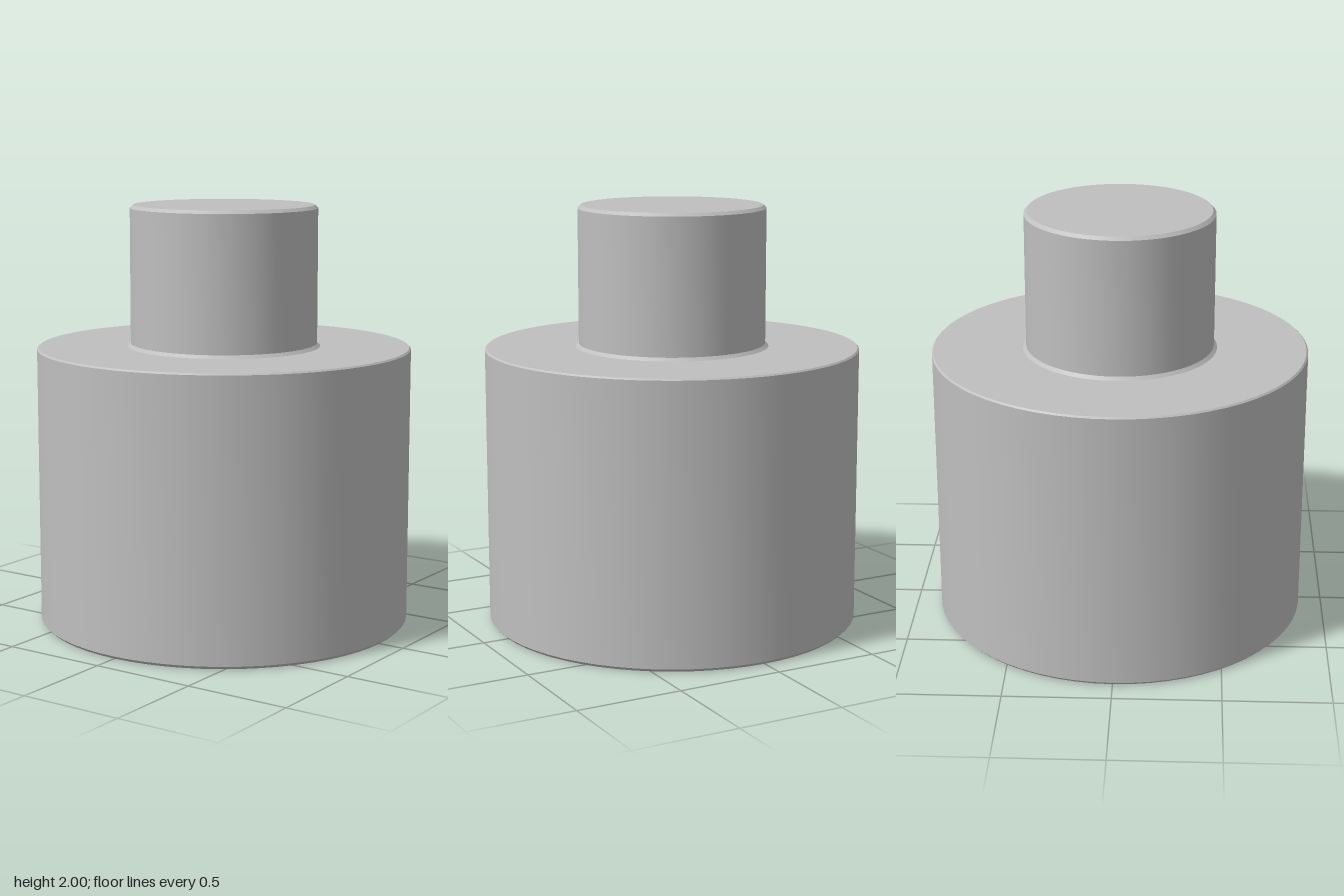
import * as THREE from 'three';
import { toCreasedNormals } from 'three/addons/utils/BufferGeometryUtils.js';

const SEGMENTS = 64;
const BODY_R = 0.89, STUD_R = 0.445, SOCKET_R = 0.57;
const SHOULDER_Y = 1.33, TOP_Y = 2, SOCKET_DEPTH = 1.0;
const BEVEL = 0.015;

export function createModel() {
  const group = new THREE.Group();
  const grey = new THREE.MeshStandardMaterial({ color: 0xbfbfbf });
  grey.name = 'plain grey';

  // Turns a [radius, height] profile about the y axis, keeping edges sharp
  const turn = (name, profile) => {
    const points = profile.map(([r, y]) => new THREE.Vector2(r, y));
    const geometry = toCreasedNormals(new THREE.LatheGeometry(points, SEGMENTS), 0.5);
    const mesh = new THREE.Mesh(geometry, grey);
    mesh.name = name;
    group.add(mesh);
  };

  // Blind round socket, open at the bottom
  turn('socket', [[0, SOCKET_DEPTH], [SOCKET_R, SOCKET_DEPTH], [SOCKET_R, 0]]);

  // Wide body: bottom rim, side wall and shoulder
  turn('body', [
    [SOCKET_R, 0], [BODY_R - BEVEL, 0], [BODY_R, BEVEL],
    [BODY_R, SHOULDER_Y - BEVEL / 2], [BODY_R - BEVEL / 2, SHOULDER_Y],
    [STUD_R + BEVEL, SHOULDER_Y],
  ]);

  // Narrow stud with a small fillet at its foot and a bevelled top
  turn('stud', [
    [STUD_R + BEVEL, SHOULDER_Y], [STUD_R, SHOULDER_Y + BEVEL],
    [STUD_R, TOP_Y - BEVEL], [STUD_R - BEVEL, TOP_Y], [0, TOP_Y],
  ]);

  return group;
}
